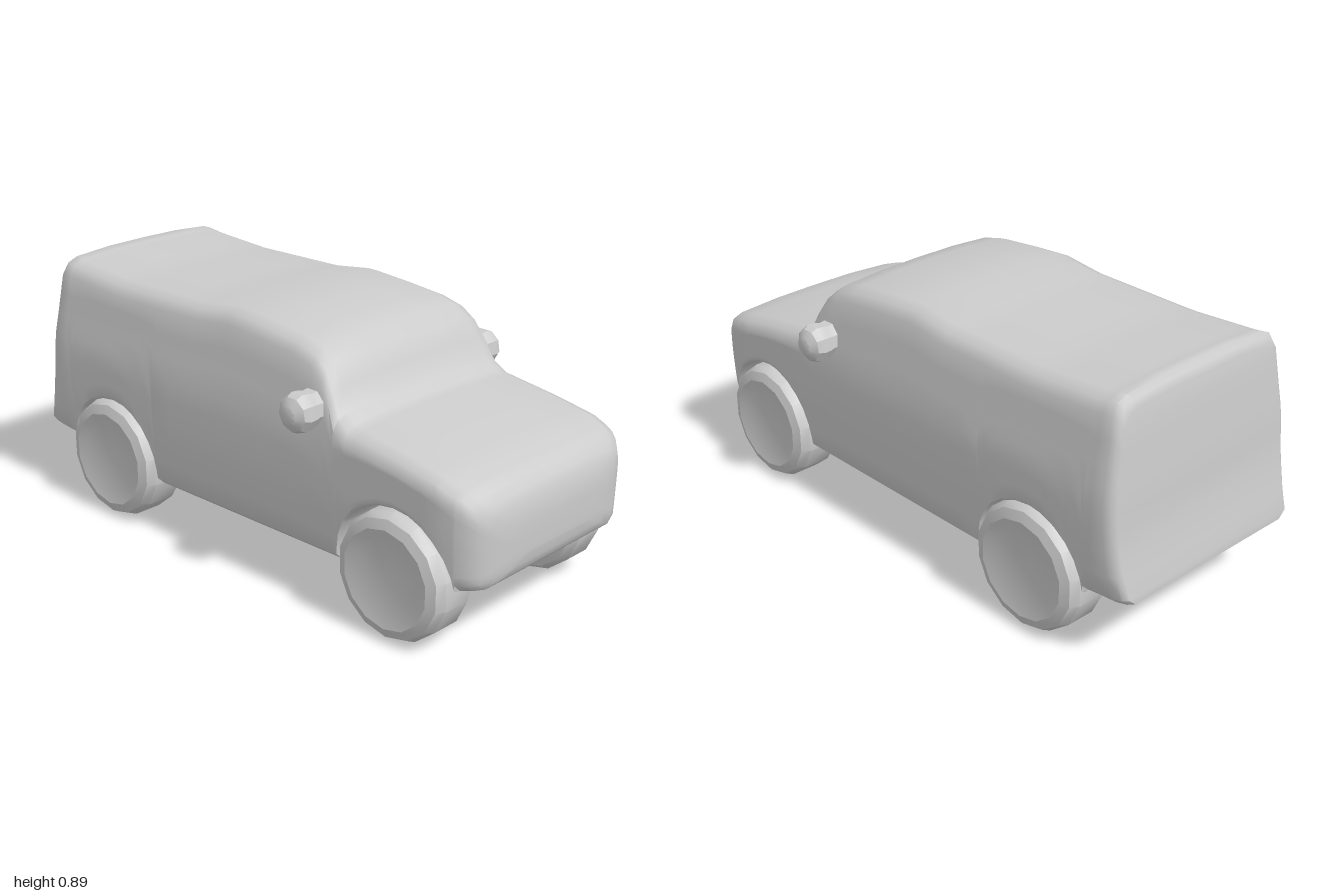
import * as THREE from 'three';
import { toCreasedNormals } from 'three/addons/utils/BufferGeometryUtils.js';

const material = new THREE.MeshStandardMaterial({ color: 0xcccccc });

const wheels = [
  { name: 'rear', x: -0.615, r: 0.216, arch: 0.222 },
  { name: 'front', x: 0.688, r: 0.21, arch: 0.226 },
];

// Piecewise linear curve through [position, value] pairs
function lerpTable(table, x) {
  if (x <= table[0][0]) return table[0][1];
  for (let i = 1; i < table.length; i++) {
    const [x0, v0] = table[i - 1], [x1, v1] = table[i];
    if (x <= x1) return v0 + ((v1 - v0) * (x - x0)) / (x1 - x0);
  }
  return table[table.length - 1][1];
}

const roofLine = [[-1, 0.85], [-0.985, 0.875], [-0.95, 0.888], [-0.88, 0.882], [-0.6, 0.863], [-0.2, 0.868],
  [-0.05, 0.888], [0.1, 0.876], [0.25, 0.86], [0.33, 0.838], [0.38, 0.8], [0.42, 0.735], [0.45, 0.672],
  [0.5, 0.638], [0.7, 0.608], [0.85, 0.578], [0.93, 0.55], [0.97, 0.52], [0.988, 0.485], [0.996, 0.45], [1, 0.42]];
const planWidth = [[-1, 0.375], [-0.985, 0.392], [-0.95, 0.402], [0.4, 0.405], [0.86, 0.402],
  [0.915, 0.39], [0.95, 0.372], [0.975, 0.345], [0.988, 0.31], [0.996, 0.26], [1, 0.2]];
const sideTaper = [[0.17, 0.016], [0.3, 0.005], [0.4, 0], [0.58, 0], [0.68, 0.018], [0.8, 0.038], [0.9, 0.052]];
const underEdge = [[-1, 0.245], [-0.84, 0.23], [-0.835, 0.22], [-0.39, 0.175], [0.46, 0.18], [0.91, 0.23],
  [0.975, 0.24], [0.988, 0.255], [0.996, 0.28], [1, 0.31]];
const rearSlant = [[0.27, 0], [0.36, 0.027], [0.46, 0.046], [0.85, 0.077]];

// Half cross-section of the body at x, from floor centre round the side to roof centre
function halfSection(x) {
  const top = lerpTable(roofLine, x), plan = lerpTable(planWidth, x);
  let edge = lerpTable(underEdge, x), inner = plan - 0.075, round = 0.025;
  let floor = Math.max(edge, 0.2);
  for (const w of wheels) {
    const d = Math.abs(x - w.x);
    if (d < w.arch) {
      edge = Math.max(edge, 0.208 + Math.sqrt(w.arch ** 2 - d ** 2));
      inner = 0.24;
      round = 0.01;
      floor = 0.25;
    }
  }
  const width = y => plan - lerpTable(sideTaper, y);
  const pts = [[floor, 0], [floor, inner - 0.02], [edge, inner], [edge, width(edge) - round]];
  const low = edge + round, high = top - 0.06;
  for (let k = 0; k <= 8; k++) {
    const y = low + ((high - low) * k) / 8;
    pts.push([y, width(y)]);
  }
  const w = width(top);
  pts.push([top - 0.027, w - 0.012], [top - 0.012, w - 0.05], [top - 0.002, w * 0.45], [top, 0]);
  return pts;
}

// Body shell: sections lofted along the length, with wheel wells
function bodyGeometry() {
  const xs = [-1, -0.985, -0.95, -0.88, -0.3, -0.2, -0.05, 0.1, 0.25, 0.33, 0.38, 0.42, 0.45, 0.5,
    0.93, 0.95, 0.975, 0.988, 0.996, 1];
  for (const w of wheels) {
    for (let k = 0; k <= 12; k++) xs.push(w.x + (w.arch - 0.0005) * Math.cos((k * Math.PI) / 12));
    xs.push(w.x - w.arch - 0.002, w.x + w.arch + 0.002);
  }
  xs.sort((a, b) => a - b);

  const positions = [], index = [];
  let n = 0;
  for (const x of xs) {
    const half = halfSection(x);
    const mirrored = half.slice(1, -1).reverse().map(([y, z]) => [y, -z]);
    const ring = [...half, ...mirrored];
    n = ring.length;
    const lean = THREE.MathUtils.clamp((-0.84 - x) / 0.16, 0, 1);
    for (const [y, z] of ring) positions.push(x + lean * lerpTable(rearSlant, y), y, z);
  }
  for (let i = 0; i < xs.length - 1; i++) {
    for (let j = 0; j < n; j++) {
      const a = i * n + j, b = i * n + ((j + 1) % n), c = a + n, d = b + n;
      index.push(a, c, b, b, c, d);
    }
  }
  // Tail and nose panels: level strips joining the two sides
  const nose = (xs.length - 1) * n;
  for (let j = 0; j < n / 2; j++) {
    const a = j, b = j + 1, c = (n - j) % n, d = n - j - 1;
    index.push(a, b, c, c, b, d);
    index.push(nose + a, nose + c, nose + b, nose + c, nose + d, nose + b);
  }

  const g = new THREE.BufferGeometry();
  g.setAttribute('position', new THREE.Float32BufferAttribute(positions, 3));
  g.setIndex(index);
  return toCreasedNormals(g, 0.85);
}

// Turned shape from [radius, height] pairs, its axis laid along z
function turned(profile, sides) {
  const g = new THREE.LatheGeometry(profile.map(p => new THREE.Vector2(...p)), sides);
  return g.rotateX(Math.PI / 2);
}

// Chunky rounded tyre with a shallow dished face
function wheelGeometry(r) {
  const profile = [[0, -0.07], [r * 0.55, -0.072], [r * 0.76, -0.09], [r * 0.91, -0.084], [r, -0.053],
    [r, 0.05], [r * 0.93, 0.08], [r * 0.78, 0.092], [r * 0.58, 0.081], [0, 0.078]];
  return toCreasedNormals(turned(profile, 14), 0.46);
}

function add(parent, name, geometry, x, y, z) {
  const mesh = new THREE.Mesh(geometry, material);
  mesh.name = name;
  mesh.position.set(x, y, z);
  parent.add(mesh);
  return mesh;
}

export function createModel() {
  const car = new THREE.Group();
  car.name = 'car';
  add(car, 'body', bodyGeometry(), 0, 0, 0);

  // Wheels and axles
  for (const w of wheels) {
    for (const side of [1, -1]) {
      const wheel = add(car, w.name + 'Wheel', wheelGeometry(w.r), w.x, w.r, side * 0.337);
      if (side < 0) wheel.rotation.y = Math.PI;
    }
    const axle = turned([[0.045, -0.28], [0.052, -0.15], [0.062, 0], [0.052, 0.15], [0.045, 0.28]], 12);
    add(car, w.name + 'Axle', axle, w.x, 0.198, 0);
  }

  // Door mirrors: blunt faceted cones growing out of the doors
  for (const side of [1, -1]) {
    const profile = [[0.064, -0.07], [0.058, -0.03], [0.064, -0.01], [0.066, 0.015], [0.056, 0.036], [0.03, 0.054], [0, 0.058]];
    const geometry = toCreasedNormals(turned(profile, 9), 0.5);
    const mirror = add(car, 'doorMirror', geometry, 0.346, side > 0 ? 0.656 : 0.65, side * 0.433);
    if (side < 0) mirror.rotation.y = Math.PI;
  }
  return car;
}
